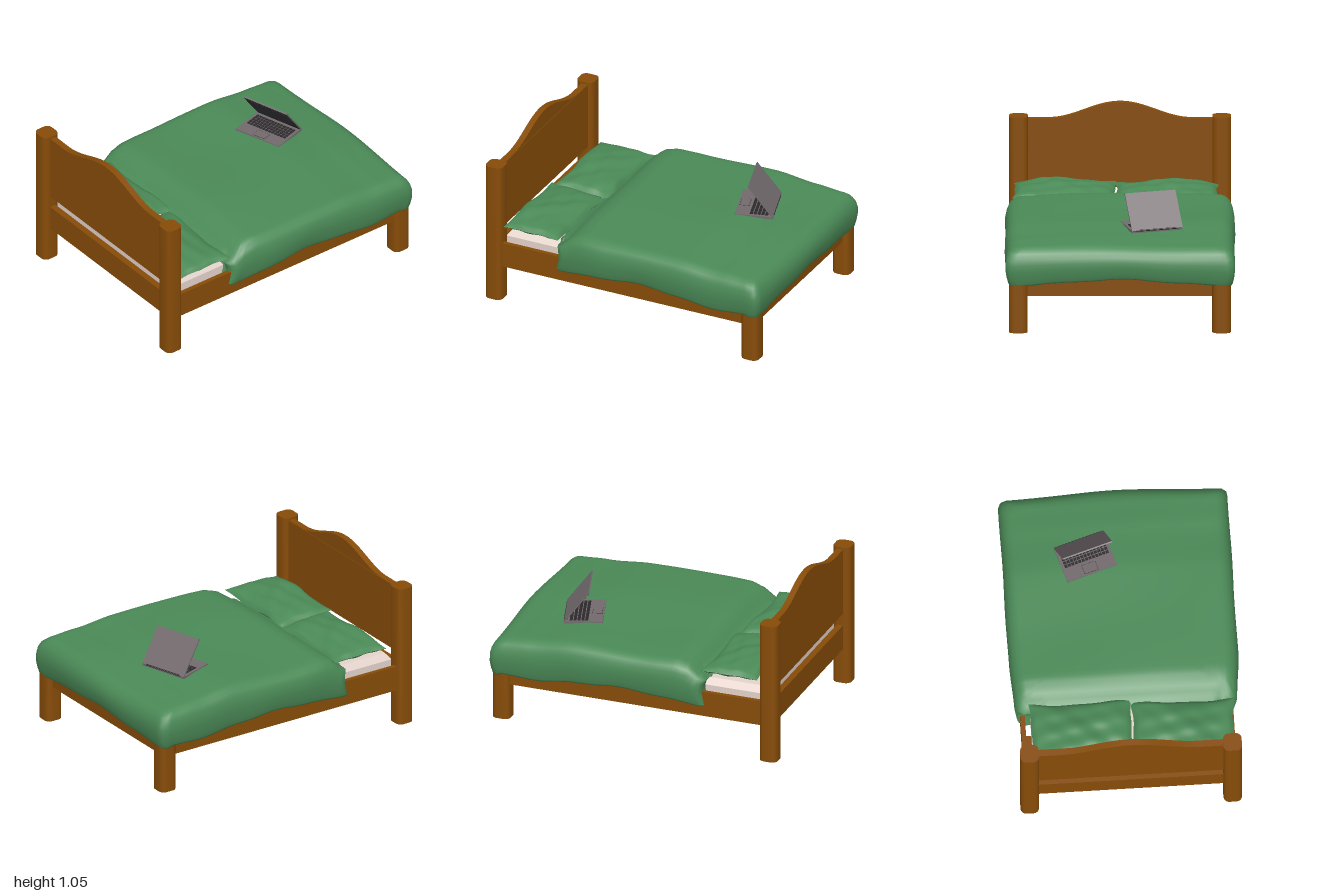
import * as THREE from 'three';
import { toCreasedNormals } from 'three/addons/utils/BufferGeometryUtils.js';

const mat = (color, side = THREE.FrontSide) => {
  const m = new THREE.MeshStandardMaterial({ side });
  m.color.set(color);
  return m;
};
const wood = mat(0x874c08);
const cloth = mat(0x4b8a57, THREE.DoubleSide);
const linen = mat(0xe4d3cb);
const casing = mat(0x736a6d);
const dark = mat(0x2c2a2c);

function add(parent, name, geometry, material, x = 0, y = 0, z = 0) {
  const mesh = new THREE.Mesh(geometry, material);
  mesh.name = name;
  mesh.position.set(x, y, z);
  parent.add(mesh);
  return mesh;
}
const box = (parent, name, material, w, h, d, x, y, z) =>
  add(parent, name, new THREE.BoxGeometry(w, h, d), material, x, y, z);

// Rectangle with rounded corners, centred on the origin
function roundedRect(hw, hh, r) {
  const s = new THREE.Shape();
  s.absarc(hw - r, hh - r, r, 0, Math.PI / 2);
  s.absarc(-hw + r, hh - r, r, Math.PI / 2, Math.PI);
  s.absarc(-hw + r, -hh + r, r, Math.PI, Math.PI * 1.5);
  s.absarc(hw - r, -hh + r, r, Math.PI * 1.5, Math.PI * 2);
  s.closePath();
  return s;
}

function postGeometry(height) {
  const g = new THREE.ExtrudeGeometry(roundedRect(0.06, 0.06, 0.038),
    { depth: height, bevelEnabled: false, curveSegments: 5 });
  return toCreasedNormals(g.rotateX(-Math.PI / 2), 0.7);
}

// Headboard with a raised wave in the middle
function headboardGeometry() {
  const s = new THREE.Shape();
  s.moveTo(-0.62, 0.49);
  s.lineTo(0.62, 0.49);
  s.lineTo(0.62, 0.943);
  for (let i = 0; i <= 32; i++) {
    const x = 0.46 - (0.92 * i) / 32;
    s.lineTo(x, 0.943 + 0.054 * (1 + Math.cos((Math.PI * x) / 0.46)));
  }
  s.lineTo(-0.62, 0.943);
  const g = new THREE.ExtrudeGeometry(s, { depth: 0.042, bevelEnabled: false });
  return toCreasedNormals(g, 0.7);
}

// Mattress block with a chamfered top edge
function mattressGeometry() {
  const g = new THREE.BoxGeometry(1.24, 0.175, 1.77, 1, 2, 1);
  const p = g.attributes.position;
  for (let i = 0; i < p.count; i++) {
    const y = p.getY(i);
    if (Math.abs(y) < 0.01) p.setY(i, 0.045);
    if (y > 0.05) {
      p.setX(i, p.getX(i) - 0.032 * Math.sign(p.getX(i)));
      p.setZ(i, p.getZ(i) - 0.032 * Math.sign(p.getZ(i)));
    }
  }
  const flat = g.toNonIndexed();
  flat.computeVertexNormals();
  return flat;
}

// Height of the duvet surface along the bed, with shallow folds
const profile = [[-1, 0.55], [-0.88, 0.572], [-0.7, 0.585], [-0.4, 0.608], [0, 0.603],
  [0.3, 0.605], [0.37, 0.585], [0.46, 0.525], [0.52, 0.505]];
function duvetTop(x, z) {
  let i = 0;
  while (i < profile.length - 2 && z > profile[i + 1][0]) i++;
  const [z0, y0] = profile[i], [z1, y1] = profile[i + 1];
  const y = THREE.MathUtils.lerp(y0, y1, THREE.MathUtils.smoothstep(z, z0, z1));
  return y + 0.007 * Math.sin(5 * x + 3 * z) * Math.cos(4 * z - 2 * x) - 0.03 * x * x;
}

// Height of the duvet's lower edge
function duvetHem(x, z) {
  if (z > 0.46 && Math.abs(x) < 0.64) return 0.487;
  const wave = z < -0.92 ? Math.cos(4.3 * x) : Math.cos(5 * (z + 0.1));
  return 0.335 + 0.023 * wave + 0.004 * Math.sin(17 * z + 13 * x);
}

// Duvet made of concentric rings: flat on top, falling over the edges, tucked in below
function duvetGeometry() {
  const N = 180;
  const outline = roundedRect(0.738, 0.748, 0.04).getSpacedPoints(N).slice(0, N);
  const rings = [];
  for (let i = 0; i <= 20; i++) rings.push([0.001 + 0.0445 * i, 0]);
  rings.push([0.93, 0.03], [0.965, 0.11], [0.987, 0.24], [0.998, 0.4], [1, 0.58],
    [0.99, 0.8], [0.978, 0.95], [0.97, 1], [0.945, 0.97]);
  const pos = [], idx = [];
  rings.forEach(([scale, fall], r) => {
    outline.forEach((pt, j) => {
      const edgeZ = pt.y - 0.24;
      const pull = 1 - 0.03 * THREE.MathUtils.smoothstep(edgeZ, 0.15, 0.5);
      const bulge = edgeZ < -0.9 ? 0.011 * Math.cos(4.3 * pt.x) : 0;
      // The head end hangs almost straight, flaring out at its lower corners
      const flare = pt.y > 0 && fall > 0.1;
      const scaleZ = flare ? 1 - 0.04 * Math.sin(Math.PI * fall) : scale;
      const x = pt.x * scale * pull + 0.004 * fall * Math.sin(9 * edgeZ);
      const z = pt.y * scaleZ - 0.24 - bulge * scale;
      const top = duvetTop(x, z);
      pos.push(x, top - fall * (top - duvetHem(pt.x, edgeZ)), z);
      if (r === 0) return;
      const k = (j + 1) % N, a = (r - 1) * N, b = r * N;
      idx.push(a + j, a + k, b + k, a + j, b + k, b + j);
    });
  });
  const g = new THREE.BufferGeometry();
  g.setAttribute('position', new THREE.Float32BufferAttribute(pos, 3));
  g.setIndex(idx);
  g.computeVertexNormals();
  return g;
}

// Soft cushion: a fine slab swollen in the middle and pinched to a seam
function pillowGeometry(w, d, phase) {
  const g = new THREE.BoxGeometry(2, 2, 2, 36, 1, 28);
  const p = g.attributes.position;
  for (let i = 0; i < p.count; i++) {
    const u = p.getX(i), v = p.getZ(i), s = Math.sign(p.getY(i));
    const swell = Math.pow((1 - u * u) * (1 - v * v), 0.4);
    const crease = 0.008 * Math.sin(5 * u + 3 * v + phase) * Math.cos(6 * v - 2 * u)
      + 0.003 * Math.sin(11 * u - 7 * v + phase);
    const seam = 0.012 * Math.sin(4 * u + phase) * v;
    p.setXYZ(i,
      (w / 2) * u * (1 - 0.03 * (1 - v * v) + 0.01 * Math.sin(6 * v + phase)),
      s * swell * (s > 0 ? 0.054 : 0.04) + swell * crease + seam + 0.012 * v,
      (d / 2) * v * (1 - 0.04 * (1 - u * u) + 0.018 * Math.sin(7 * u + phase)));
  }
  g.computeVertexNormals();
  return g;
}

// Half-open laptop; origin on the hinge, keyboard towards +z
function laptop() {
  const g = new THREE.Group();
  g.name = 'laptop';
  box(g, 'laptopBase', casing, 0.34, 0.014, 0.25, 0, 0.007, 0.125);
  for (let r = 0; r < 5; r++)
    for (let c = 0; c < 13; c++)
      box(g, 'key', dark, 0.0185, 0.004, 0.019, (c - 6) * 0.0235, 0.015, 0.045 + r * 0.025);
  box(g, 'touchpadBorder', dark, 0.094, 0.002, 0.064, 0, 0.014, 0.207);
  box(g, 'touchpad', casing, 0.09, 0.003, 0.06, 0, 0.0143, 0.207);
  const hinge = add(g, 'hinge', new THREE.CylinderGeometry(0.007, 0.007, 0.28, 12), dark, 0, 0.014, 0.004);
  hinge.rotation.z = Math.PI / 2;
  const lid = new THREE.Group();
  lid.name = 'laptopLid';
  lid.position.set(0, 0.012, 0);
  lid.rotation.x = 0.68;
  box(lid, 'lidShell', casing, 0.34, 0.266, 0.009, 0, 0.133, 0);
  box(lid, 'bezel', dark, 0.332, 0.256, 0.003, 0, 0.133, 0.005);
  box(lid, 'screen', mat(0x383639), 0.3, 0.212, 0.002, 0, 0.136, 0.0065);
  g.add(lid);
  g.position.set(-0.24, 0.591, -0.63);
  g.rotation.order = 'YXZ';
  g.rotation.set(-0.03, 0.3, 0);
  return g;
}

export function createModel() {
  const bed = new THREE.Group();
  bed.name = 'bed';

  // Posts and side rails, mirrored
  for (const s of [-1, 1]) {
    add(bed, 'headPost', postGeometry(0.957), wood, s * 0.653, 0, 0.94);
    add(bed, 'footPost', postGeometry(0.44), wood, s * 0.653, 0, -0.9);
    box(bed, 'sideRail', wood, 0.03, 0.168, 1.78, s * 0.67, 0.323, 0.02);
  }
  // Headboard, with a panel slightly proud on the mattress side
  add(bed, 'headboard', headboardGeometry(), wood, 0, 0, 0.914);
  box(bed, 'headPanel', wood, 1.24, 0.45, 0.02, 0, 0.716, 0.921);
  box(bed, 'headRail', wood, 1.24, 0.168, 0.042, 0, 0.323, 0.935);
  box(bed, 'footRail', wood, 1.24, 0.168, 0.042, 0, 0.323, -0.9);

  // Slats carrying the mattress
  for (let i = 0; i < 11; i++)
    box(bed, 'slat', wood, 1.31, 0.03, 0.08, 0, 0.285, 0.785 - i * 0.165);
  add(bed, 'mattress', mattressGeometry(), linen, 0, 0.3875, 0);

  // Bedding
  add(bed, 'duvet', duvetGeometry(), cloth);
  const left = add(bed, 'leftPillow', pillowGeometry(0.66, 0.39, 0.6), cloth, 0.355, 0.525, 0.672);
  left.rotation.y = -0.02;
  add(bed, 'rightPillow', pillowGeometry(0.66, 0.385, 2.4), cloth, -0.3, 0.525, 0.642);

  bed.add(laptop());
  return bed;
}
